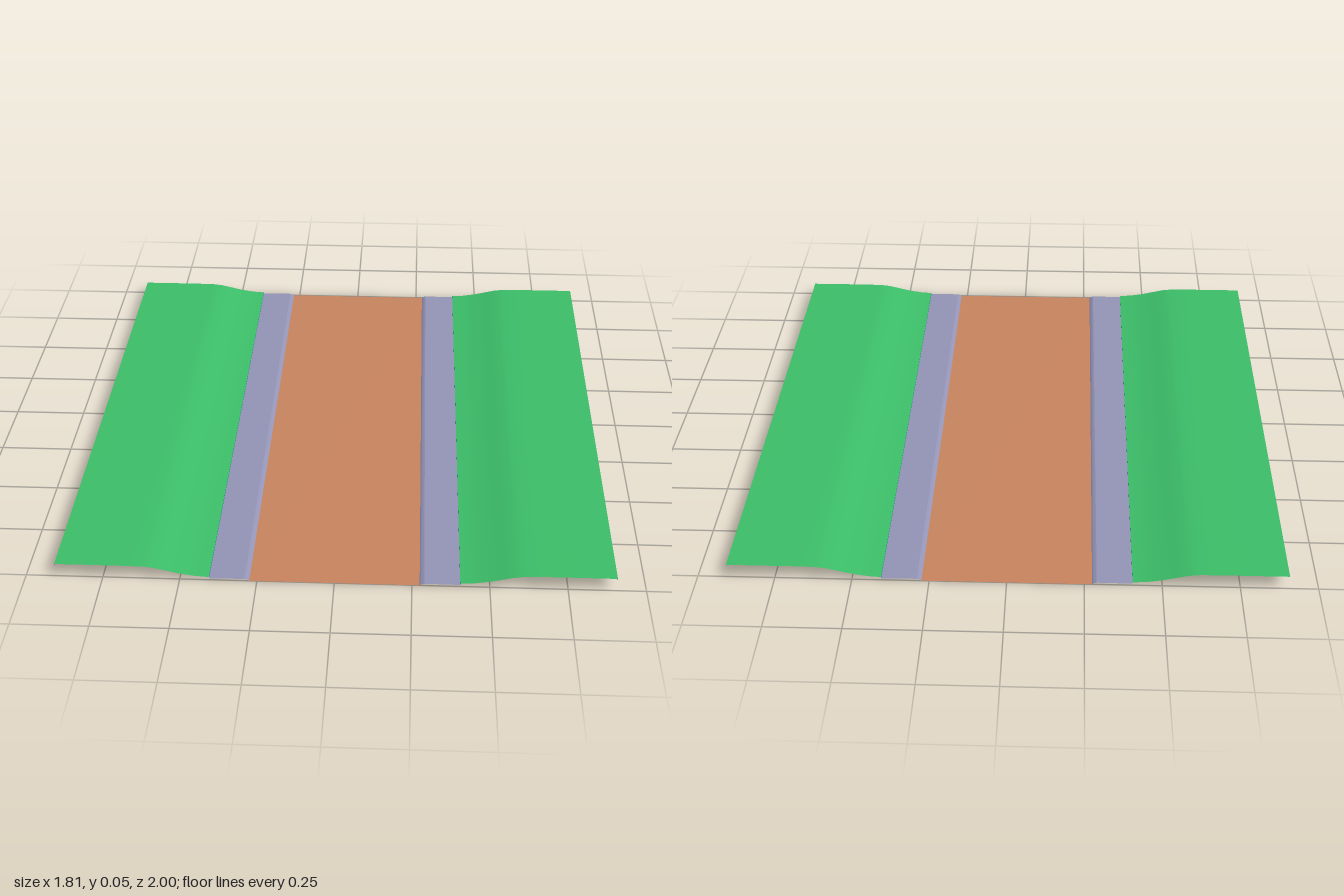
import * as THREE from 'three';

const flat = (name, color) => new THREE.MeshStandardMaterial({ name, color, side: THREE.DoubleSide });

// Sweeps a cross-section of [x, y] points, running towards +x, along the whole length
function sweep(name, profile, material) {
  const positions = [], index = [];
  profile.forEach(([x, y], i) => {
    positions.push(x, y, 1, x, y, -1);
    if (i > 0) {
      const a = 2 * (i - 1), b = 2 * i;
      index.push(a, b, b + 1, a, b + 1, a + 1);
    }
  });
  const geometry = new THREE.BufferGeometry();
  geometry.setAttribute('position', new THREE.Float32BufferAttribute(positions, 3));
  geometry.setIndex(index);
  geometry.computeVertexNormals();
  const mesh = new THREE.Mesh(geometry, material);
  mesh.name = name;
  return mesh;
}

const mirror = (profile) => profile.map(([x, y]) => [-x, y]).reverse();

export function createModel() {
  const group = new THREE.Group();
  group.name = 'roadSection';
  const grass = flat('grass green', 0x3cbf69);
  const earth = flat('road clay', 0xc98460);
  const stone = flat('pavement lilac', 0x9494b8);
  const teal = flat('border teal', 0x109090);
  const magenta = flat('edge magenta', 0xb840b8);

  // Flat roadway
  group.add(sweep('roadway', [[-0.275, 0], [0.275, 0]], earth));

  // Cross-sections of the +x side, mirrored for the other side
  const sideParts = [
    ['Curb', [[0.275, 0], [0.28, 0.004], [0.29, 0.007]], stone],
    ['Pavement', [[0.29, 0.007], [0.405, 0.006]], stone],
    ['GrassBorder', [[0.405, 0.006], [0.405, 0.011]], teal],
    ['GrassBank', [[0.405, 0.011], [0.45, 0.014], [0.5, 0.022], [0.55, 0.034],
      [0.585, 0.042], [0.62, 0.046], [0.7, 0.047], [0.905, 0.047]], grass],
    ['OuterEdge', [[0.905, 0.047], [0.905, 0.04]], magenta],
  ];
  for (const [name, profile, material] of sideParts) {
    group.add(sweep('left' + name, profile, material));
    group.add(sweep('right' + name, mirror(profile), material));
  }
  return group;
}
